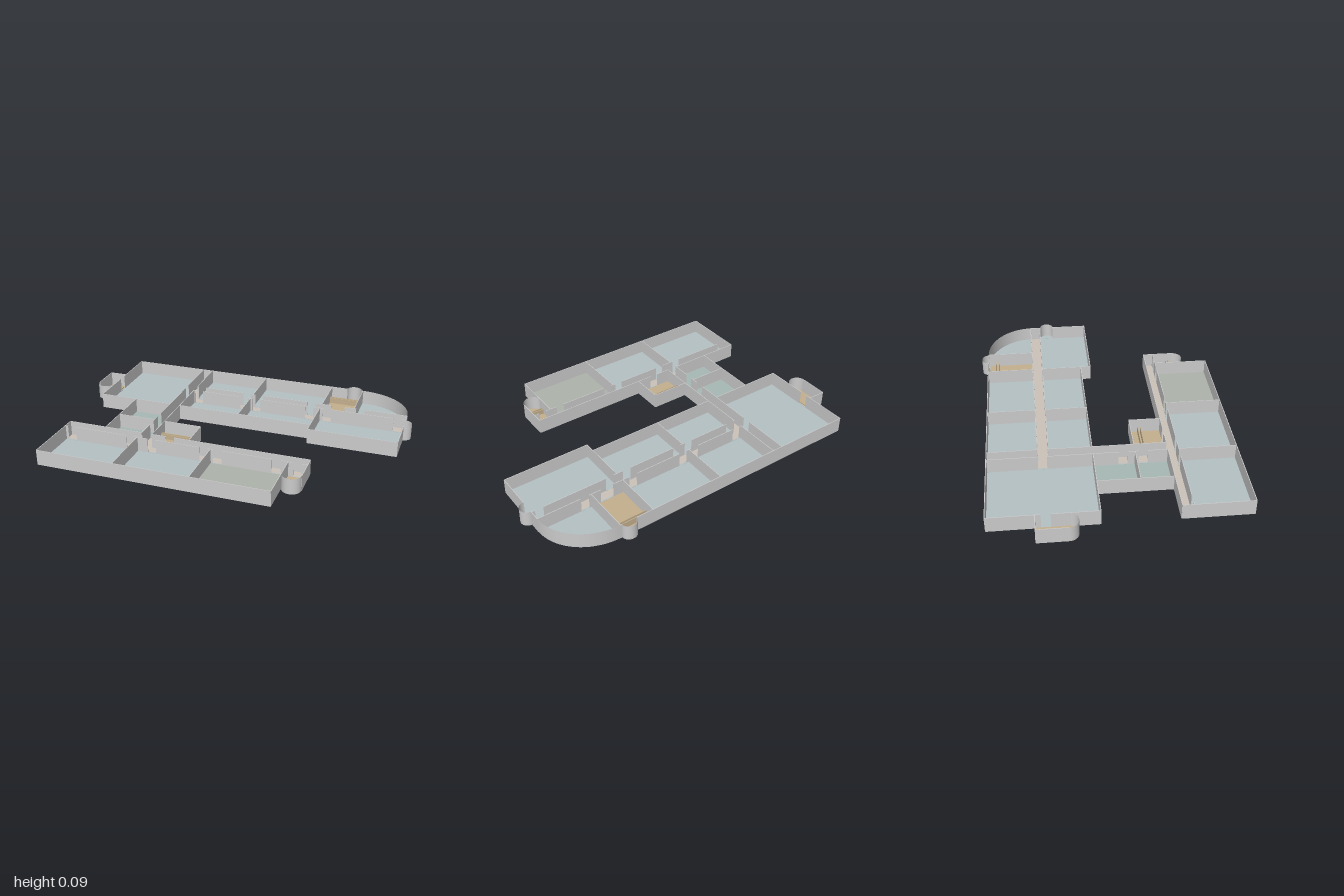
import * as THREE from 'three';

const H = 0.09;   // wall height
const T = 0.004;  // wall thickness
const F = 0.005;  // floor thickness

const mat = (color, side = THREE.FrontSide) => new THREE.MeshStandardMaterial({ color, side });
const wallMat = mat(0xcccccc);
const curveMat = mat(0xcccccc, THREE.DoubleSide);
const roomMat = mat(0xb5c1c4);
const hallMat = mat(0xccc3ba);
const stairMat = mat(0xc4b08e);
const annexMat = mat(0xa7bab5);
const storeMat = mat(0xaeb4ac);

export function createModel() {
  const model = new THREE.Group();
  const add = (geo, material, name) => {
    const m = new THREE.Mesh(geo, material);
    m.name = name;
    model.add(m);
    return m;
  };
  const box = (name, x0, x1, y0, y1, z0, z1, material) => {
    const g = new THREE.BoxGeometry(x1 - x0, y1 - y0, z1 - z0);
    g.translate((x0 + x1) / 2, (y0 + y1) / 2, (z0 + z1) / 2);
    return add(g, material, name);
  };
  const floor = (name, x0, x1, z0, z1, material) => box(name, x0, x1, 0, F, z0, z1, material);

  // straight walls, broken by door gaps given as [from, to]
  const run = (a, b, gaps, piece, sill) => {
    let start = a;
    for (const [g0, g1] of gaps) {
      if (g0 > start) piece(start, g0);
      sill(g0, g1);
      start = g1;
    }
    if (b > start) piece(start, b);
  };
  const wallX = (name, z, x0, x1, gaps = []) => run(x0, x1, gaps,
    (a, b) => box(name, a, b, 0, H, z - T / 2, z + T / 2, wallMat),
    (a, b) => box('threshold', a, b, F, F + 0.001, z - 0.004, z + 0.004, roomMat));
  const wallZ = (name, x, z0, z1, gaps = []) => run(z0, z1, gaps,
    (a, b) => box(name, x - T / 2, x + T / 2, 0, H, a, b, wallMat),
    (a, b) => box('threshold', x - 0.004, x + 0.004, F, F + 0.001, a, b, roomMat));

  // curved wall with its floor sector
  const curved = (name, cx, cz, rx, rz, start, sweep, material) => {
    const w = new THREE.CylinderGeometry(1, 1, H, 32, 1, true, start, sweep);
    w.scale(rx, 1, rz).translate(cx, H / 2, cz);
    add(w, curveMat, name + 'Wall');
    const f = new THREE.CylinderGeometry(1, 1, F, 32, 1, false, start, sweep);
    f.scale(rx, 1, rz).translate(cx, F / 2, cz);
    add(f, material, name + 'Floor');
  };

  // floors
  floor('largeRoomFloor', -0.893, -0.438, -0.667, -0.09, roomMat);
  for (const [a, b] of [[-0.375, 0], [0, 0.44]]) {
    floor('backRoomFloor', a, b, -0.667, -0.39, roomMat);
    floor('middleRoomFloor', a, b, -0.33, -0.09, roomMat);
  }
  floor('sideRoomFloor', 0.44, 0.955, -0.33, -0.03, roomMat);
  floor('annexFloor', -0.665, -0.438, -0.09, 0.14, annexMat);
  floor('annexFloor', -0.665, -0.438, 0.14, 0.32, annexMat);
  floor('frontRoomFloor', -0.893, -0.438, 0.38, 0.70, roomMat);
  floor('frontRoomFloor', -0.438, 0, 0.38, 0.70, roomMat);
  floor('frontStoreFloor', 0, 0.44, 0.38, 0.70, storeMat);
  floor('crossCorridorFloor', -0.438, -0.375, -0.667, 0.32, hallMat);
  floor('backCorridorFloor', -0.375, 0.955, -0.39, -0.33, hallMat);
  floor('frontCorridorFloor', -0.893, 0.547, 0.32, 0.38, hallMat);
  floor('backStairFloor', 0.44, 0.638, -0.667, -0.39, stairMat);
  floor('middleStairFloor', -0.375, -0.15, 0.14, 0.32, stairMat);
  floor('leftStairFloor', 0.44, 0.547, 0.38, 0.502, stairMat);
  floor('rightStairFloor', -1 + T / 2, -0.893, -0.42, -0.255, stairMat);

  // rounded rooms and stair turrets
  const P = Math.PI;
  curved('cornerRoom', 0.638, -0.39, 0.317, 0.277, P / 2, P / 2, roomMat);
  curved('backTurret', 0.585, -0.665, 0.045, 0.042, P / 2, P, stairMat);
  curved('sideTurret', 0.955, -0.285, 0.043, 0.042, 0, P, roomMat);
  curved('leftStairEnd', 0.4935, 0.502, 0.0535, 0.053, -P / 2, P, stairMat);
  curved('rightStairEnd', -0.9465, -0.255, 0.0535, 0.053, -P / 2, P, stairMat);

  // back wing walls
  wallX('backWall', -0.667, -0.893, 0.638, [[0.54, 0.63]]);
  wallZ('endWall', -0.893, -0.667, -0.09, [[-0.39, -0.34]]);
  wallX('largeRoomWall', -0.09, -0.893, -0.438);
  wallZ('corridorWall', -0.438, -0.667, 0.32, [[-0.39, -0.34], [0.05, 0.10], [0.16, 0.21]]);
  wallZ('corridorWall', -0.375, -0.667, -0.39);
  wallZ('corridorWall', -0.375, -0.33, 0.32);
  const doors = [[-0.365, -0.315], [-0.065, -0.015], [0.015, 0.065], [0.35, 0.40]];
  wallX('backCorridorWall', -0.39, -0.375, 0.955, [...doors, [0.50, 0.58], [0.65, 0.70]]);
  wallX('backCorridorWall', -0.33, -0.375, 0.955, [...doors, [0.46, 0.51], [0.885, 0.935]]);
  for (const x of [0, 0.44]) {
    wallZ('backPartition', x, -0.667, -0.39);
    wallZ('middlePartition', x, -0.33, -0.09);
  }
  wallZ('stairPartition', 0.638, -0.667, -0.39);
  wallX('middleRoomWall', -0.09, -0.375, 0.44);
  wallZ('sideRoomWall', 0.44, -0.09, -0.03);
  wallX('sideRoomWall', -0.03, 0.44, 0.955);
  wallZ('sideRoomWall', 0.955, -0.39, -0.03, [[-0.325, -0.245]]);

  // annex and middle stair walls
  wallZ('annexWall', -0.665, -0.09, 0.32);
  wallX('annexPartition', 0.14, -0.665, -0.438);
  wallX('middleStairWall', 0.14, -0.375, -0.15);
  wallZ('middleStairWall', -0.15, 0.14, 0.32);

  // front wing walls
  wallX('frontCorridorWall', 0.32, -0.893, -0.438);
  wallX('frontCorridorWall', 0.32, -0.375, 0.547, [[-0.29, -0.24]]);
  wallX('frontCorridorWall', 0.38, -0.893, 0.547,
    [[-0.875, -0.825], [-0.505, -0.455], [-0.375, -0.325], ...doors.slice(1), [0.47, 0.515]]);
  wallZ('frontEndWall', -0.893, 0.32, 0.70);
  for (const x of [-0.438, 0, 0.44]) wallZ('frontPartition', x, 0.38, 0.70);
  wallX('frontWall', 0.70, -0.893, 0.44);
  wallZ('leftStairWall', 0.547, 0.32, 0.502);
  wallZ('rightStairWall', -1 + T / 2, -0.42, -0.255);
  wallX('rightStairWall', -0.42, -1 + T / 2, -0.893);
  wallZ('rightStairWall', -0.893, -0.42, -0.255, [[-0.39, -0.34]]);

  // low paired rails across the stairwells
  for (const [x0, x1, z] of [[0.442, 0.636, -0.615], [-0.37, -0.155, 0.20], [0.445, 0.542, 0.475]]) {
    for (const d of [-0.008, 0.008]) {
      box('stairRail', x0, x1, F, 0.04, z + d - T / 2, z + d + T / 2, stairMat);
    }
  }
  // landings beside the stair doors
  box('stairLanding', -0.985, -0.90, F, 0.01, -0.39, -0.32, stairMat);
  box('stairLanding', -0.37, -0.155, F, 0.01, 0.21, 0.245, stairMat);
  box('stairLanding', 0.45, 0.54, F, 0.01, 0.42, 0.465, stairMat);

  return model;
}
